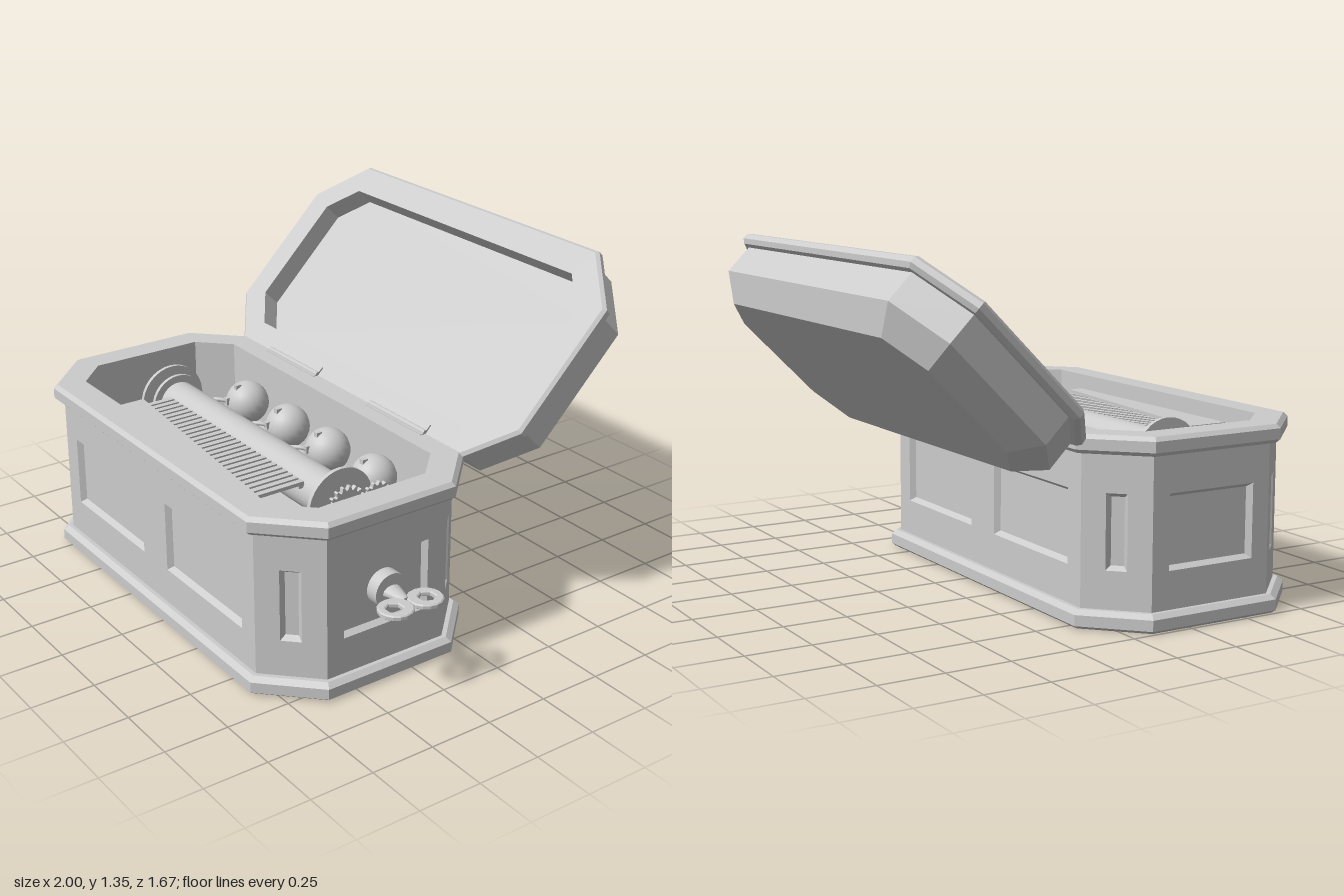
import * as THREE from 'three';

const material = new THREE.MeshStandardMaterial({ color: 0xcccccc, side: THREE.DoubleSide });
const CX = -0.085, CZ = 0.355; // centre of the box

function add(parent, name, geometry, x = 0, y = 0, z = 0) {
  const mesh = new THREE.Mesh(geometry, material);
  mesh.name = name;
  mesh.position.set(x, y, z);
  parent.add(mesh);
  return mesh;
}

function group(parent, name, x = 0, y = 0, z = 0) {
  const g = new THREE.Group();
  g.name = name;
  g.position.set(x, y, z);
  parent.add(g);
  return g;
}

// Faceted skin through rings of equal point count, with optional flat ends
function loft(rings, capStart, capEnd) {
  const tris = [];
  for (let r = 0; r < rings.length - 1; r++) {
    const a = rings[r], b = rings[r + 1];
    a.forEach((p, i) => {
      const j = (i + 1) % a.length;
      tris.push(p, a[j], b[j], p, b[j], b[i]);
    });
  }
  const first = rings[0], last = rings[rings.length - 1];
  for (let i = 1; i < first.length - 1; i++) {
    if (capStart) tris.push(first[0], first[i + 1], first[i]);
    if (capEnd) tris.push(last[0], last[i], last[i + 1]);
  }
  const g = new THREE.BufferGeometry().setFromPoints(tris);
  g.computeVertexNormals();
  return g;
}

// Rectangle with cut corners, lying flat at height y
function octagon(hx, hz, cut, y) {
  return [[hx, hz - cut], [hx, cut - hz], [hx - cut, -hz], [cut - hx, -hz],
    [-hx, cut - hz], [-hx, hz - cut], [cut - hx, hz], [hx - cut, hz]]
    .map(([x, z]) => new THREE.Vector3(x, y, z));
}
const outline = (inset, y) => octagon(0.915 - inset, 0.475 - inset, 0.2 - inset * 0.5, y);
const opening = y => octagon(0.7925, 0.3525, 0.12, y);

const rect = (cx, cy, hw, hh, z) => [[-hw, -hh], [hw, -hh], [hw, hh], [-hw, hh]]
  .map(([x, y]) => new THREE.Vector3(cx + x, cy + y, z));

// Cylinder along x, starting at x and running for the given length
function rod(parent, name, x, length, radius, y, z, sides = 32) {
  const g = new THREE.CylinderGeometry(radius, radius, length, sides).rotateZ(Math.PI / 2);
  return add(parent, name, g, x + length / 2, y, z);
}

function polygon(PathType, n, radius, cx = 0, cy = 0) {
  return new PathType(Array.from({ length: n }, (_, i) => {
    const a = i / n * Math.PI * 2;
    return new THREE.Vector2(cx + radius * Math.cos(a), cy + radius * Math.sin(a));
  }));
}

function gear(parent, name, teeth, radius, x, y, z) {
  const pts = [];
  for (let i = 0; i < teeth * 4; i++) {
    const a = i / (teeth * 4) * Math.PI * 2, r = i % 4 < 2 ? radius : radius * 0.82;
    pts.push(new THREE.Vector2(r * Math.cos(a), r * Math.sin(a)));
  }
  const g = new THREE.ExtrudeGeometry(new THREE.Shape(pts), { depth: 0.018, bevelEnabled: false });
  add(parent, name, g.rotateY(Math.PI / 2), x, y, z);
}

function buildCase(root) {
  const box = group(root, 'case', CX, 0, CZ);
  add(box, 'baseMoulding', loft([outline(0.015, 0), outline(0, 0.012), outline(0, 0.053),
    outline(0.02, 0.07), outline(0.045, 0.07)], true, false));
  add(box, 'topMouldingAndInterior', loft([outline(0.045, 0.635), outline(0.015, 0.635),
    outline(0, 0.65), outline(0, 0.69), outline(0.015, 0.705), opening(0.705), opening(0.42)], false, true));

  // Eight walls with recessed panels
  const ring = outline(0.036, 0);
  ring.forEach((p, i) => {
    const q = ring[(i + 1) % 8], width = p.distanceTo(q);
    const wall = group(box, 'wall', (p.x + q.x) / 2, 0, (p.z + q.z) / 2);
    wall.rotation.y = Math.atan2(p.z - q.z, q.x - p.x);
    const face = new THREE.Shape(rect(0, 0.3525, width / 2, 0.2875, 0).map(v => new THREE.Vector2(v.x, v.y)));
    const panels = width > 1 ? [[-0.35, 0.2625], [0.35, 0.2625]] : [[0, width > 0.4 ? 0.185 : 0.039]];
    for (const [cx, hw] of panels) {
      const edge = rect(cx, 0.3525, hw, 0.14, 0);
      face.holes.push(new THREE.Path(edge.map(v => new THREE.Vector2(v.x, v.y))));
      add(wall, 'recessedPanel', loft([edge, rect(cx, 0.3525, hw - 0.015, 0.125, -0.022)], false, true));
    }
    add(wall, 'wallFace', new THREE.ShapeGeometry(face));
  });
}

function buildLid(root) {
  const lid = group(root, 'lid', CX, 0.7, -0.085);
  lid.rotation.x = -Math.PI * 0.75;
  add(lid, 'lidShell', loft([opening(0.085), opening(0), outline(0.012, 0), outline(0, 0.012),
    outline(0, 0.035), outline(0.015, 0.05), outline(0.036, 0.05), outline(0.036, 0.175),
    octagon(0.787, 0.35, 0.14, 0.265)], true, true), 0, 0, 0.45);

  for (const x of [-0.44, 0.265]) {
    const hinge = group(root, 'hinge', x, 0.708, -0.09);
    rod(hinge, 'hingePin', -0.175, 0.35, 0.012, 0, 0, 12);
    add(hinge, 'caseLeaf', new THREE.BoxGeometry(0.35, 0.006, 0.03), 0, -0.003, 0.008);
    const leaf = add(hinge, 'lidLeaf', new THREE.BoxGeometry(0.35, 0.006, 0.04), 0, 0.012, -0.01);
    leaf.rotation.x = Math.PI / 4;
  }
}

function buildMovement(root) {
  const m = group(root, 'movement');
  const y = 0.57, z = 0.35;
  add(m, 'bedplate', new THREE.BoxGeometry(1.335, 0.015, 0.585), -0.0875, 0.4275, 0.4125);

  // Pinned cylinder with end flanges on its axle
  rod(m, 'pinCylinder', -0.64, 1.11, 0.085, y, z);
  rod(m, 'axle', -0.715, 1.28, 0.028, y, z, 16);
  for (const [x, r] of [[-0.7, 0.14], [-0.652, 0.115], [0.465, 0.115], [0.495, 0.14]])
    rod(m, 'endFlange', x, 0.016, r, y, z);
  gear(m, 'driveGear', 18, 0.085, 0.535, y, z);
  gear(m, 'pinionGear', 14, 0.065, 0.535, y, 0.215);
  rod(m, 'pinionHub', 0.52, 0.06, 0.035, y, 0.215, 16);

  // Comb: slanted bar with teeth of changing length
  const front = x => 0.54 + (x + 0.59) * 0.1;
  const bar = new THREE.Shape([[-0.59, 0.7], [0.415, 0.7], [0.415, front(0.415)], [-0.59, front(-0.59)]]
    .map(([a, b]) => new THREE.Vector2(a, b)));
  add(m, 'combBar', new THREE.ExtrudeGeometry(bar, { depth: 0.03, bevelEnabled: false }).rotateX(Math.PI / 2), 0, 0.645, 0);
  add(m, 'combSupport', new THREE.BoxGeometry(1, 0.19, 0.05), -0.0875, 0.525, 0.673);
  for (let i = 0; i < 27; i++) {
    const x = -0.555 + i * 0.0357, end = front(x) + 0.01;
    add(m, 'combTooth', new THREE.BoxGeometry(0.024, 0.014, end - 0.425), x, 0.625, (end + 0.425) / 2);
    add(m, 'cylinderPin', new THREE.BoxGeometry(0.014, 0.014, 0.03), x, 0.61, 0.43);
  }

  // Bells with curved hammer arms
  for (const x of [-0.53, -0.23, 0.05, 0.35]) {
    const bell = group(m, 'bell', x, 0.54, 0.085);
    add(bell, 'bellDome', new THREE.SphereGeometry(0.09, 20, 14));
    add(bell, 'bellPost', new THREE.CylinderGeometry(0.02, 0.02, 0.1, 10), 0, -0.07, 0);
    add(bell, 'bellStud', new THREE.BoxGeometry(0.02, 0.025, 0.025), 0, 0.075, 0.045);
    const arm = new THREE.CatmullRomCurve3([[-0.015, 0.02, 0.09], [-0.03, 0.025, 0.105],
      [-0.075, 0.015, 0.14], [-0.095, -0.02, 0.19]].map(p => new THREE.Vector3(...p)));
    add(bell, 'hammerArm', new THREE.TubeGeometry(arm, 12, 0.009, 6));
    add(bell, 'hammerHead', new THREE.BoxGeometry(0.022, 0.03, 0.025), -0.015, 0.02, 0.085);
  }
}

function buildKey(root) {
  const key = group(root, 'windingKey', 0.765, 0.355, 0.355);
  rod(key, 'keyCollar', 0, 0.06, 0.07, 0, 0);
  // Stem tapering into a flat bow with two eyes
  const stem = new THREE.CylinderGeometry(0.012, 0.028, 0.09, 12).rotateZ(-Math.PI / 2).scale(1, 1, 1.5);
  add(key, 'keyStem', stem, 0.095, 0, 0);
  for (const s of [-1, 1]) {
    const eye = polygon(THREE.Shape, 16, 0.062);
    eye.holes.push(polygon(THREE.Path, 6, 0.038, 0, s * 0.006));
    const g = new THREE.ExtrudeGeometry(eye, { depth: 0.012, bevelSize: 0.005, bevelThickness: 0.004, bevelSegments: 1 });
    add(key, 'keyEye', g.translate(0, 0, -0.006).rotateX(Math.PI / 2), 0.168, 0, s * 0.065);
  }
}

export function createModel() {
  const root = new THREE.Group();
  root.name = 'musicBox';
  buildCase(root);
  buildLid(root);
  buildMovement(root);
  buildKey(root);
  return root;
}
